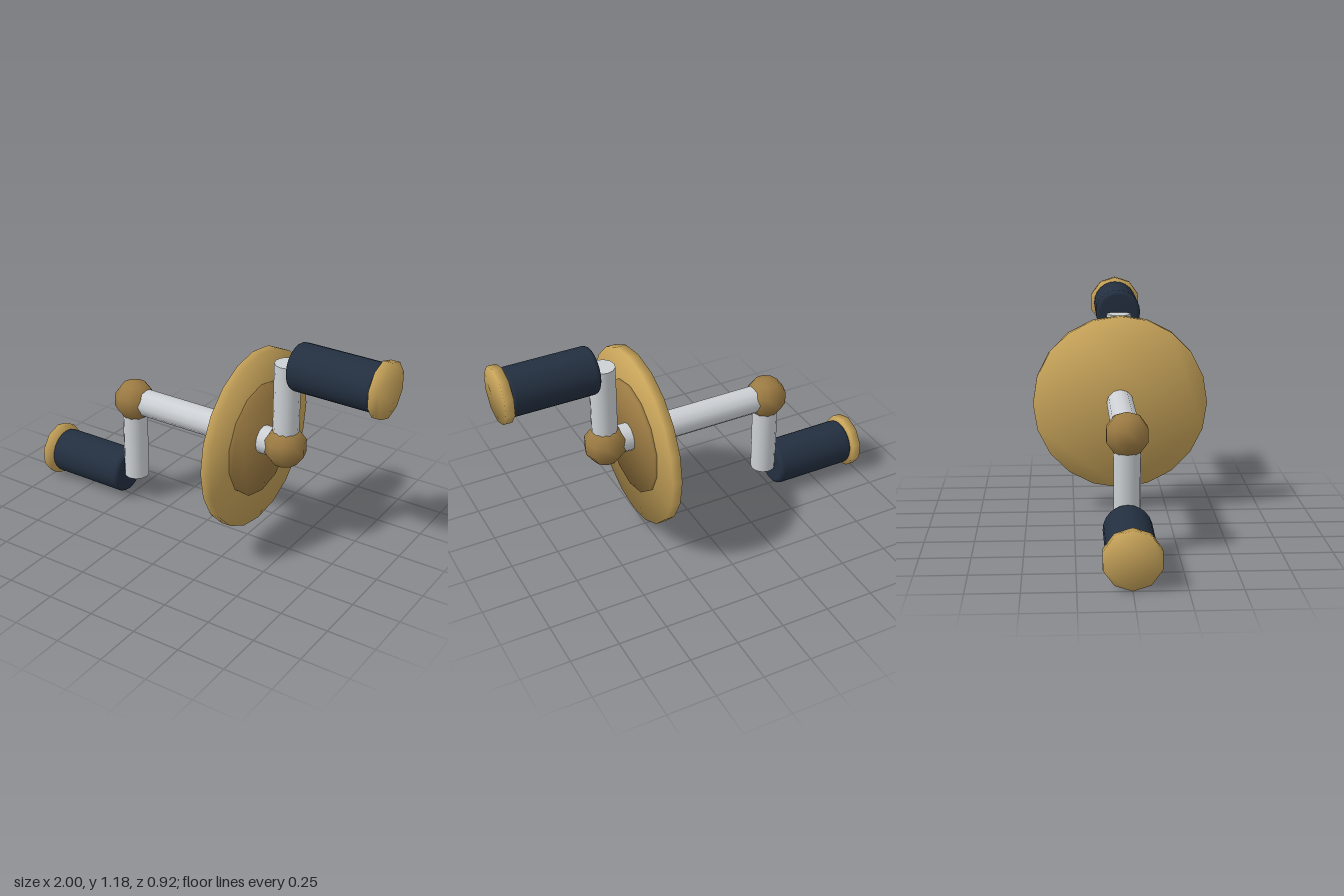
import * as THREE from 'three';
import { mergeVertices } from 'three/addons/utils/BufferGeometryUtils.js';

const AXLE_Y = 0.592;
const CRANK_X = 0.46;
const CRANK_LENGTH = 0.449;

// Polygonal plate facing along x, with normals blended softly over its rim
function softDisc(radius, thickness, sides) {
  const points = [];
  for (let i = 0; i < sides; i++) {
    const a = Math.PI / 2 + (i / sides) * Math.PI * 2;
    points.push(new THREE.Vector2(Math.cos(a) * radius, Math.sin(a) * radius));
  }
  let geo = new THREE.ExtrudeGeometry(new THREE.Shape(points), { depth: thickness, bevelEnabled: false });
  geo.translate(0, 0, -thickness / 2).rotateY(Math.PI / 2);
  geo.deleteAttribute('uv');
  geo.deleteAttribute('normal');
  geo = mergeVertices(geo);
  geo.computeVertexNormals();
  const pos = geo.attributes.position;
  const n = new THREE.Vector3();
  for (let i = 0; i < pos.count; i++) {
    n.set(Math.sign(pos.getX(i)), pos.getY(i) / radius, pos.getZ(i) / radius).normalize();
    geo.attributes.normal.setXYZ(i, n.x, n.y, n.z);
  }
  return geo;
}

// Cylinder along x with rounded ends
function roundedGrip(radius, length, round) {
  const profile = [new THREE.Vector2(0, -length / 2)];
  for (const end of [-1, 1]) {
    for (let i = 0; i <= 4; i++) {
      const a = ((end < 0 ? i : 4 - i) / 4) * Math.PI / 2;
      profile.push(new THREE.Vector2(
        radius - round + Math.sin(a) * round,
        end * (length / 2 - round + Math.cos(a) * round)
      ));
    }
  }
  profile.push(new THREE.Vector2(0, length / 2));
  return new THREE.LatheGeometry(profile, 24).rotateZ(-Math.PI / 2);
}

export function createModel() {
  const silver = new THREE.MeshStandardMaterial({ name: 'silver metal', color: 0xcdd1d5 });
  const navy = new THREE.MeshStandardMaterial({ name: 'navy grip', color: 0x232f40 });
  const gold = new THREE.MeshStandardMaterial({ name: 'gold', color: 0xc8a45a });
  const bronze = new THREE.MeshStandardMaterial({ name: 'bronze', color: 0x9c7b43 });

  const model = new THREE.Group();
  model.name = 'doubleCrank';

  function add(parent, name, geometry, material, x, y) {
    const mesh = new THREE.Mesh(geometry, material);
    mesh.name = name;
    mesh.position.set(x, y, 0);
    parent.add(mesh);
  }

  // Axle and the stepped wheel
  add(model, 'axle', new THREE.CylinderGeometry(0.072, 0.072, CRANK_X * 2, 12).rotateZ(Math.PI / 2), silver, 0, AXLE_Y);
  add(model, 'wheel', softDisc(0.462, 0.05, 20), gold, 0.29, AXLE_Y);
  add(model, 'wheelHub', softDisc(0.296, 0.04, 14), bronze, 0.311, AXLE_Y);

  // Two identical cranks, the right one turned half a revolution
  for (const [side, turn] of [['left', 0], ['right', Math.PI]]) {
    const crank = new THREE.Group();
    crank.name = side + 'Crank';
    crank.position.y = AXLE_Y;
    crank.rotation.z = turn;
    add(crank, side + 'Joint', new THREE.SphereGeometry(0.11, 10, 5), bronze, CRANK_X, 0);
    add(crank, side + 'Arm', new THREE.CylinderGeometry(0.066, 0.066, CRANK_LENGTH, 12), silver, CRANK_X, CRANK_LENGTH / 2);
    add(crank, side + 'Grip', roundedGrip(0.12, 0.45, 0.025), navy, 0.732, CRANK_LENGTH);
    add(crank, side + 'EndCap', softDisc(0.141, 0.046, 10), gold, 0.977, CRANK_LENGTH);
    model.add(crank);
  }

  return model;
}
